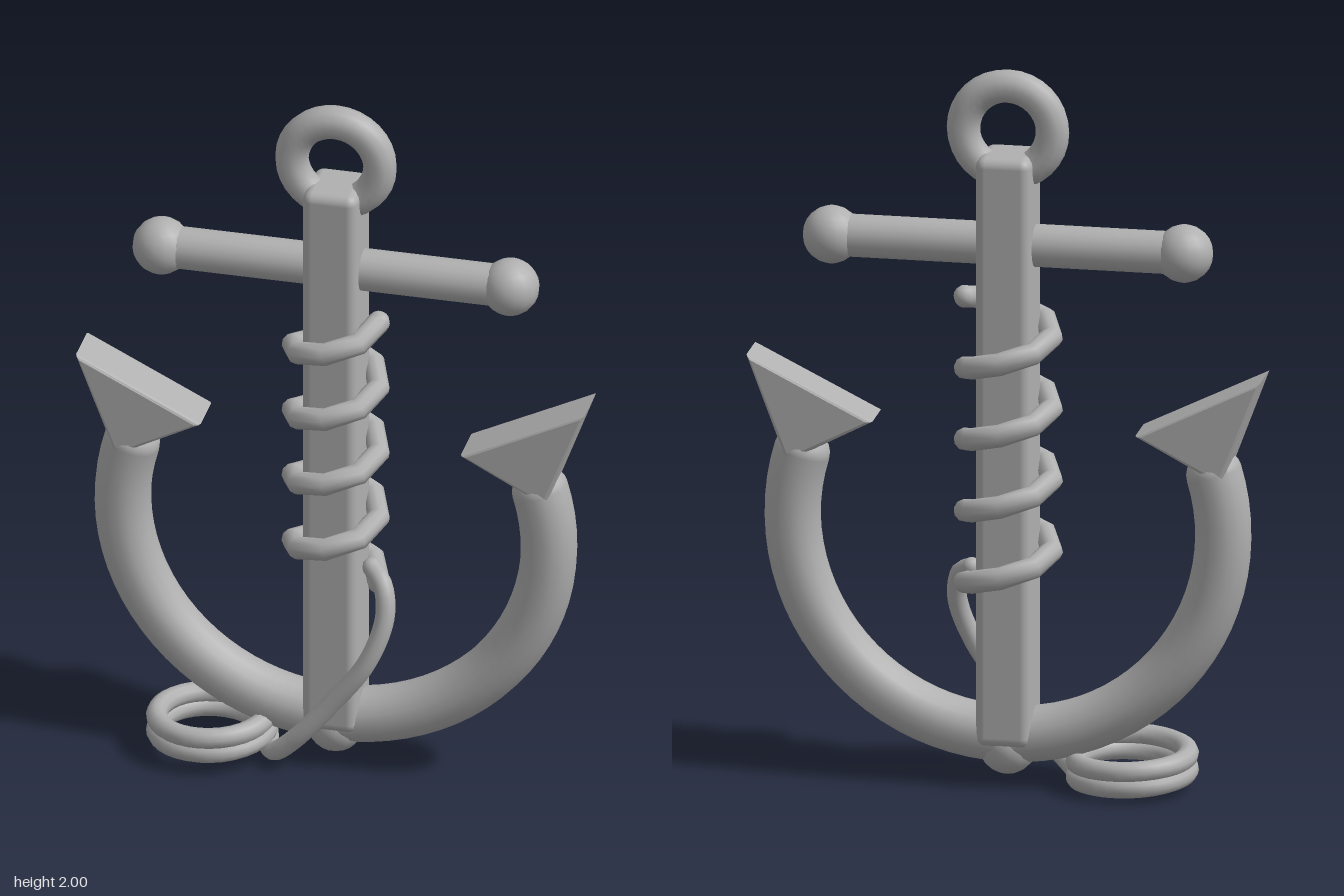
import * as THREE from 'three';
import { RoundedBoxGeometry } from 'three/addons/geometries/RoundedBoxGeometry.js';

export function createModel() {
  const model = new THREE.Group();
  const metal = new THREE.MeshStandardMaterial({ color: 0xb0b0b0 });
  metal.name = 'grey metal';

  const anchor = new THREE.Group();
  anchor.name = 'anchor';
  anchor.position.z = -0.022;
  model.add(anchor);

  function add(parent, name, geometry, x = 0, y = 0, z = 0) {
    const mesh = new THREE.Mesh(geometry, metal);
    mesh.name = name;
    mesh.position.set(x, y, z);
    parent.add(mesh);
    return mesh;
  }

  // Upright shank and the ring through its top
  add(anchor, 'shank', new RoundedBoxGeometry(0.152, 1.65, 0.174, 3, 0.028), 0, 0.945, 0);
  add(anchor, 'ring', new THREE.TorusGeometry(0.122, 0.046, 12, 32), 0, 1.832, 0);

  // Crossbar with ball ends
  const bar = add(anchor, 'crossbar', new THREE.CylinderGeometry(0.058, 0.058, 0.97, 20), 0, 1.512, 0);
  bar.rotation.z = Math.PI / 2;
  for (const s of [-1, 1]) {
    add(anchor, 'crossbarBall', new THREE.SphereGeometry(0.079, 16, 12), s * 0.483, 1.512, 0);
  }

  // Curved arms: one arc, slightly more than half a circle
  const armRadius = 0.59, armY = 0.73, rise = THREE.MathUtils.degToRad(17);
  const arms = add(anchor, 'arms',
    new THREE.TorusGeometry(armRadius, 0.077, 16, 48, Math.PI + 2 * rise), 0, armY, 0);
  arms.rotation.z = Math.PI - rise;
  add(anchor, 'crown', new THREE.SphereGeometry(0.08, 14, 10), 0, 0.11, 0);

  // Pointed flukes and the rounded arm ends they grow from
  for (const s of [-1, 1]) {
    const cap = add(anchor, 'armEnd', new THREE.SphereGeometry(0.077, 16, 12),
      s * armRadius * Math.cos(rise), armY + armRadius * Math.sin(rise), 0);
    cap.scale.y = 0.8;
    cap.rotation.z = s * rise;

    const outline = new THREE.Shape();
    outline.moveTo(s * 0.705, 1.18);
    outline.lineTo(s * 0.36, 1.01);
    outline.lineTo(s * 0.595, 0.885);
    outline.closePath();
    const bevel = 0.012;
    const fluke = new THREE.ExtrudeGeometry(outline, {
      depth: 0.142 - 2 * bevel, bevelThickness: bevel, bevelSize: bevel,
      bevelOffset: -bevel, bevelSegments: 2,
    });
    fluke.translate(0, 0, -0.071 + bevel);
    add(anchor, 'fluke', fluke);
  }

  // Rope pieces: a tube along points, closed with round ends
  function rope(name, points, segments, radius) {
    const group = new THREE.Group();
    group.name = name;
    const curve = new THREE.CatmullRomCurve3(points);
    add(group, name + 'Strand', new THREE.TubeGeometry(curve, segments, radius, 10));
    for (const p of [points[0], points[points.length - 1]]) {
      add(group, name + 'End', new THREE.SphereGeometry(radius, 10, 8), p.x, p.y, p.z);
    }
    model.add(group);
  }

  // Rope wound round the shank, eight straight lengths to a turn
  const wound = [];
  for (let a = -270; a <= 1201; a += 45) {
    const t = THREE.MathUtils.degToRad(a);
    wound.push(new THREE.Vector3(0.119 * Math.sin(t), 0.707 + a * 0.2 / 360, -0.018 + 0.122 * Math.cos(t)));
  }
  rope('woundRope', wound, wound.length - 1, 0.031);

  // Loose tail running down across the crown
  rope('ropeTail', [
    [0.1, 0.6, -0.02], [0.14, 0.57, 0.02], [0.153, 0.49, 0.05], [0.11, 0.36, 0.078],
    [0.01, 0.22, 0.082], [-0.09, 0.1, 0.08], [-0.15, 0.045, 0.06], [-0.186, 0.034, 0],
  ].map((p) => new THREE.Vector3(...p)), 40, 0.027);

  // Two flat turns of rope on the ground
  const coil = [];
  for (let i = 0; i <= 48; i++) {
    const t = i / 24 * Math.PI * 2;
    coil.push(new THREE.Vector3(-0.336 + 0.151 * Math.cos(t), 0.032 + i / 24 * 0.043, -0.151 * Math.sin(t)));
  }
  rope('ropeCoil', coil, 64, 0.029);

  return model;
}
